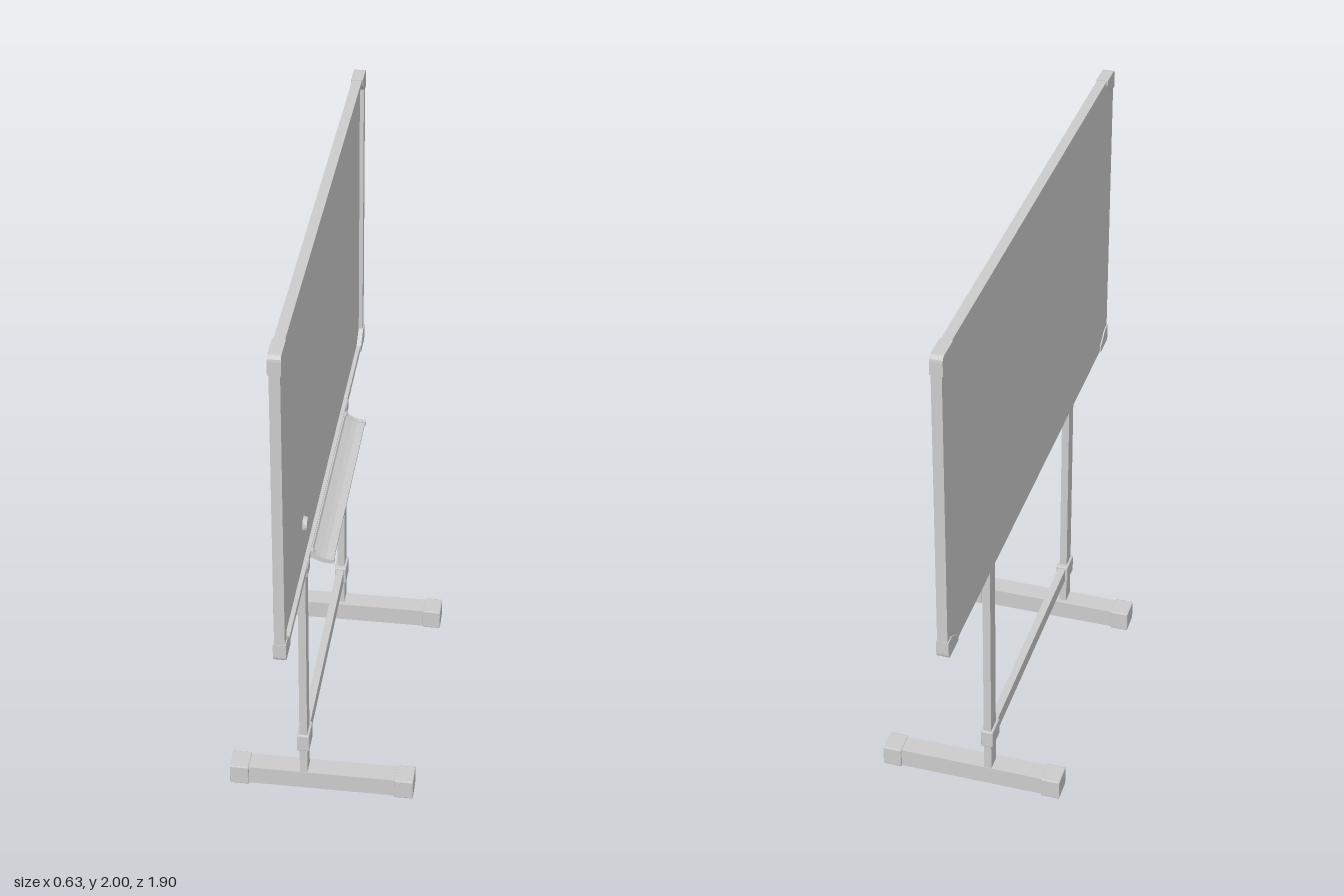
import * as THREE from 'three';
import { RoundedBoxGeometry } from 'three/addons/geometries/RoundedBoxGeometry.js';

const material = new THREE.MeshStandardMaterial({ color: 0xcccccc, flatShading: true });

export function createModel() {
  const model = new THREE.Group();

  function add(name, geometry, x = 0, y = 0, z = 0) {
    const mesh = new THREE.Mesh(geometry, material);
    mesh.name = name;
    mesh.position.set(x, y, z);
    model.add(mesh);
    return mesh;
  }
  // Box given by its limits on each axis, optionally with softened edges
  function block(name, [x0, x1], [y0, y1], [z0, z1], radius = 0) {
    const size = [x1 - x0, y1 - y0, z1 - z0];
    const geometry = radius
      ? new RoundedBoxGeometry(...size, 1, radius)
      : new THREE.BoxGeometry(...size);
    return add(name, geometry, (x0 + x1) / 2, (y0 + y1) / 2, (z0 + z1) / 2);
  }

  const bottom = 0.917, top = 2, half = 0.95;
  const midY = (bottom + top) / 2, halfH = (top - bottom) / 2;
  const frameX = [-0.077, -0.044];
  const capX = [-0.081, -0.041];

  // Writing panel, recessed at the front and flush at the back
  block('writingPanel', [-0.077, -0.058], [bottom + 0.01, top - 0.01], [-0.93, 0.93]);

  // Frame rails
  block('topRail', frameX, [1.98, 1.998], [-0.9, 0.9]);
  block('bottomRail', frameX, [bottom + 0.002, 0.942], [-0.9, 0.9]);
  for (const s of [-1, 1]) {
    block('sideRail', frameX, [0.95, 1.97], s > 0 ? [0.916, 0.948] : [-0.948, -0.916]);
  }

  // Corner caps: rounded outside, chamfered inside
  for (const sz of [-1, 1]) for (const sy of [-1, 1]) {
    const r = 0.018;
    const inner = sy > 0 ? halfH - 0.02 : halfH - 0.025;
    const low = halfH - 0.063;
    const shape = new THREE.Shape();
    shape.moveTo(sz * 0.855, sy * halfH);
    shape.lineTo(sz * (half - r), sy * halfH);
    shape.quadraticCurveTo(sz * half, sy * halfH, sz * half, sy * (halfH - r));
    shape.lineTo(sz * half, sy * low);
    shape.lineTo(sz * 0.916, sy * low);
    shape.lineTo(sz * 0.855, sy * inner);
    const geometry = new THREE.ExtrudeGeometry(shape, {
      depth: capX[1] - capX[0], bevelEnabled: false, curveSegments: 4,
    });
    geometry.rotateY(Math.PI / 2);
    add('cornerCap', geometry, capX[0], midY, 0);
  }

  // Round magnet on the panel
  const magnet = new THREE.CylinderGeometry(0.022, 0.026, 0.014, 20);
  magnet.rotateZ(-Math.PI / 2);
  add('magnet', magnet, -0.051, 1.085, 0.465);

  // Pen tray: a thin sloping channel with end stops
  function trayPiece(name, points, z0, z1) {
    const shape = new THREE.Shape(points.map(([x, y]) => new THREE.Vector2(x, y)));
    const geometry = new THREE.ExtrudeGeometry(shape, { depth: z1 - z0, bevelEnabled: false });
    add(name, geometry, 0, 0, z0);
  }
  trayPiece('penTray', [
    [-0.045, 0.938], [-0.04, 0.938], [-0.036, 0.93], [-0.012, 0.917], [0.004, 0.911], [0.03, 0.91],
    [0.03, 0.902], [0.004, 0.902], [-0.016, 0.908], [-0.045, 0.92],
  ], -0.4, 0.4);
  for (const s of [-1, 1]) {
    const z = s > 0 ? 0.396 : -0.414;
    trayPiece('trayEnd', [
      [-0.045, 0.941], [-0.036, 0.941], [-0.03, 0.932], [-0.01, 0.92], [0.006, 0.914], [0.033, 0.913],
      [0.033, 0.898], [0.003, 0.898], [-0.018, 0.905], [-0.045, 0.917],
    ], z, z + 0.018);
  }

  // Stand: an upright, clamp, joint and foot on each side
  for (const s of [-1, 1]) {
    const span = (a, b) => (s > 0 ? [a, b] : [-b, -a]);
    block('upright', [-0.074, -0.048], [0.06, 0.93], span(0.448, 0.502));
    block('boardClamp', [-0.05, -0.041], [0.9, 0.937], span(0.448, 0.502), 0.003);
    block('crossbarJoint', [-0.082, -0.04], [0.172, 0.238], span(0.429, 0.51), 0.004);
    block('foot', [-0.3, 0.3], [0.003, 0.071], span(0.431, 0.503));
    for (const x of [[-0.315, -0.25], [0.248, 0.313]]) {
      block('footCap', x, [0, 0.074], span(0.426, 0.509), 0.004);
    }
  }
  block('crossbar', [-0.074, -0.048], [0.18, 0.231], [-0.44, 0.44]);

  return model;
}
